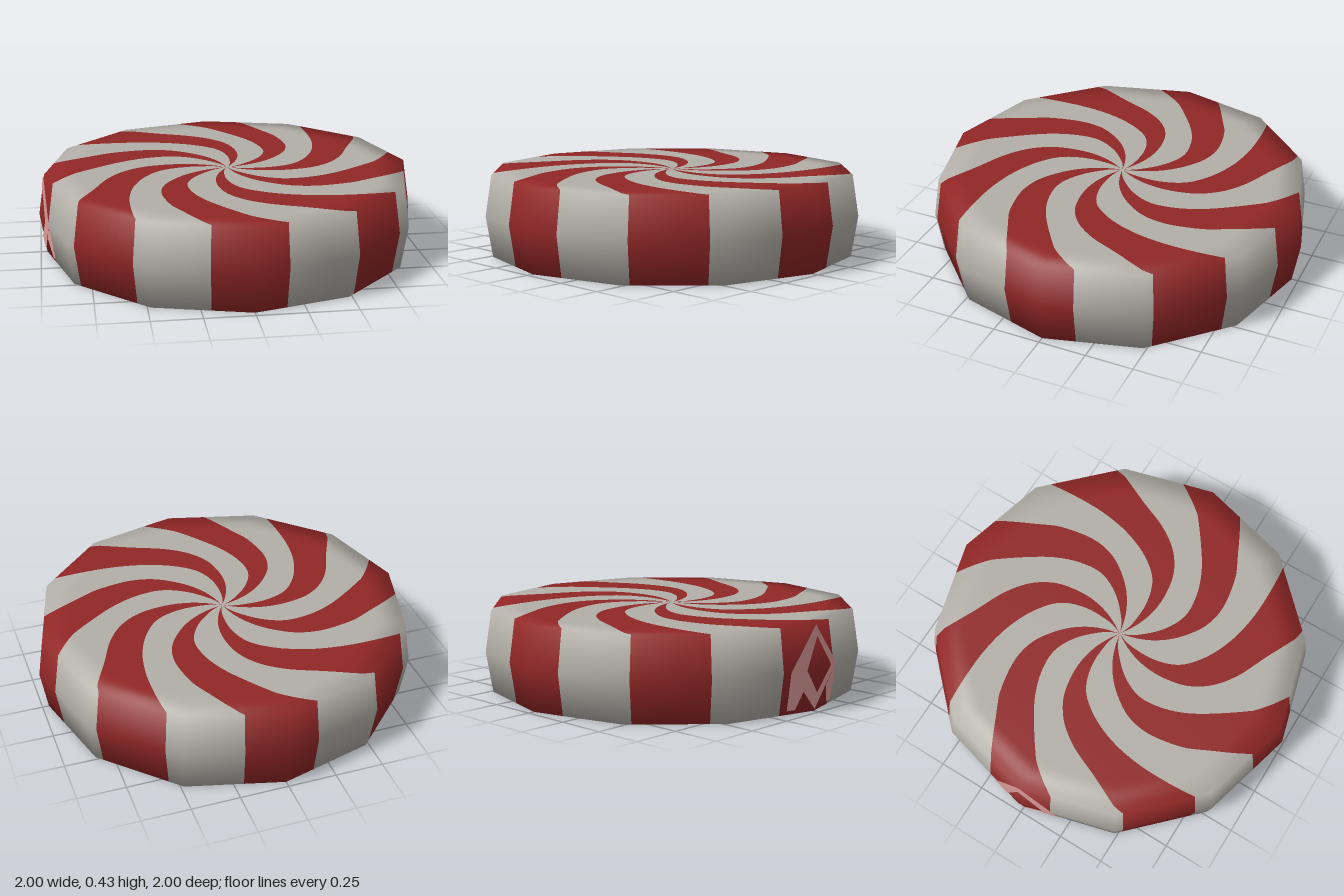
import * as THREE from 'three';

const RAD = Math.PI / 180;
const HEIGHT = 0.43, MID = HEIGHT / 2, RIM = 0.966, ARMS = 8, STEP = 360 / ARMS;
const { smoothstep, lerp } = THREE.MathUtils;

// Radius of a unit twelve-sided polygon at an angle in degrees
function polygonRadius(deg) {
  const a = ((deg % 30) + 30) % 30;
  return Math.cos(15 * RAD) / Math.cos((a - 15) * RAD);
}

// Round near the centre, twelve-sided at the rim
function surfacePoint(deg, scale, y) {
  const r = scale * lerp(1, polygonRadius(deg), smoothstep(scale, 0.5, RIM));
  return [r * Math.cos(deg * RAD), y, r * Math.sin(deg * RAD)];
}

// Swirl of one arm: radius, start angle, end angle
const swirl = new THREE.CatmullRomCurve3([
  [0, 73, 77], [0.05, 68, 77], [0.12, 60, 74], [0.22, 53, 68], [0.35, 43, 59.5], [0.45, 31.5, 53],
  [0.54, 21.5, 45.5], [0.65, 11, 35], [0.78, 1.5, 23.5], [RIM, -10, 12.4],
].map((p) => new THREE.Vector3(p[0], p[1] / 100, p[2] / 100)))
  .getPoints(72).map((p) => ({ r: p.x, from: p.y * 100, to: p.z * 100 }));

// Profile rows from the top centre, over the side, to the bottom centre
const rows = [];
for (const { r, from, to } of swirl) {
  rows.push({ r, from, to, y: HEIGHT, tilt: smoothstep(r, 0.8, RIM) * 40 });
}
rows.push({ r: 1, from: -10, to: 12.4, y: MID, tilt: 90 });
for (const { r, from, to } of [...swirl].reverse()) {
  const tilt = 180 - smoothstep(r, 0.8, RIM) * 40;
  rows.push({ r, from: 2.4 - to, to: 2.4 - from, y: 0, tilt });
}

// All stripes of one colour, running over top, side and bottom
function stripes(range) {
  const pos = [], nor = [], idx = [];
  const [rimFrom, rimTo] = range({ from: -10, to: 12.4 });
  for (let k = 0; k < ARMS; k++) {
    const turn = k * STEP;
    // Even columns plus one at each polygon corner
    const cols = [];
    for (let j = 0; j <= 8; j++) cols.push(j / 8);
    for (let c = 0; c <= 420; c += 30) {
      const u = (c - turn - rimFrom) / (rimTo - rimFrom);
      if (u > 0 && u < 1) cols.push(u);
    }
    cols.sort((a, b) => a - b);
    const base = pos.length / 3, n = cols.length;
    rows.forEach((row, i) => {
      const [from, to] = range(row);
      cols.forEach((u, j) => {
        const deg = turn + from + (to - from) * u;
        const out = Math.sin(row.tilt * RAD);
        pos.push(...surfacePoint(deg, row.r, row.y));
        nor.push(out * Math.cos(deg * RAD), Math.cos(row.tilt * RAD), out * Math.sin(deg * RAD));
        if (i < rows.length - 1 && j < n - 1) {
          const a = base + i * n + j, b = a + n;
          idx.push(a, a + 1, b, a + 1, b + 1, b);
        }
      });
    });
  }
  return buildGeometry(pos, nor, idx);
}

function buildGeometry(pos, nor, idx) {
  const g = new THREE.BufferGeometry();
  g.setAttribute('position', new THREE.Float32BufferAttribute(pos, 3));
  g.setAttribute('normal', new THREE.Float32BufferAttribute(nor, 3));
  g.setIndex(idx);
  return g;
}

// Thin diamond frame with two short legs, lying on the side at -x
function diamondFrame() {
  const outer = [[190, MID], [180, HEIGHT], [168.6, MID], [180, 0.01]];
  const inner = [[184.5, MID], [180, 0.375], [172.5, MID], [180, 0.095]];
  const quads = outer.map((o, i) => {
    const j = (i + 1) % 4;
    return [o, outer[j], inner[j], inner[i]];
  });
  quads.push([[190, MID], [184.8, 0.11], [187, 0.02], [190, 0.02]]);
  quads.push([[168.6, MID], [168.6, 0.02], [171.5, 0.02], [174, 0.11]]);

  const pos = [], nor = [], idx = [];
  for (const quad of quads) {
    const a = pos.length / 3;
    for (const [deg, y] of quad) {
      const scale = 1.005 - (1 - RIM) * Math.abs(y - MID) / MID;
      pos.push(...surfacePoint(deg, scale, y));
      nor.push(Math.cos(deg * RAD), 0, Math.sin(deg * RAD));
    }
    // The angle grows towards -z, so these corners face outward
    idx.push(a, a + 2, a + 1, a, a + 3, a + 2);
  }
  return buildGeometry(pos, nor, idx);
}

export function createModel() {
  const group = new THREE.Group();
  group.name = 'peppermintCandy';

  const material = (name, color) => {
    const m = new THREE.MeshStandardMaterial({ color });
    m.name = name;
    return m;
  };
  const add = (name, geometry, mat) => {
    const mesh = new THREE.Mesh(geometry, mat);
    mesh.name = name;
    group.add(mesh);
  };

  add('redStripes', stripes((row) => [row.from, row.to]), material('candyRed', 0x902626));
  add('whiteStripes', stripes((row) => [row.to, row.from + STEP]), material('creamWhite', 0xb2aea7));
  add('sideDiamond', diamondFrame(), material('palePink', 0xdc9c99));
  return group;
}
